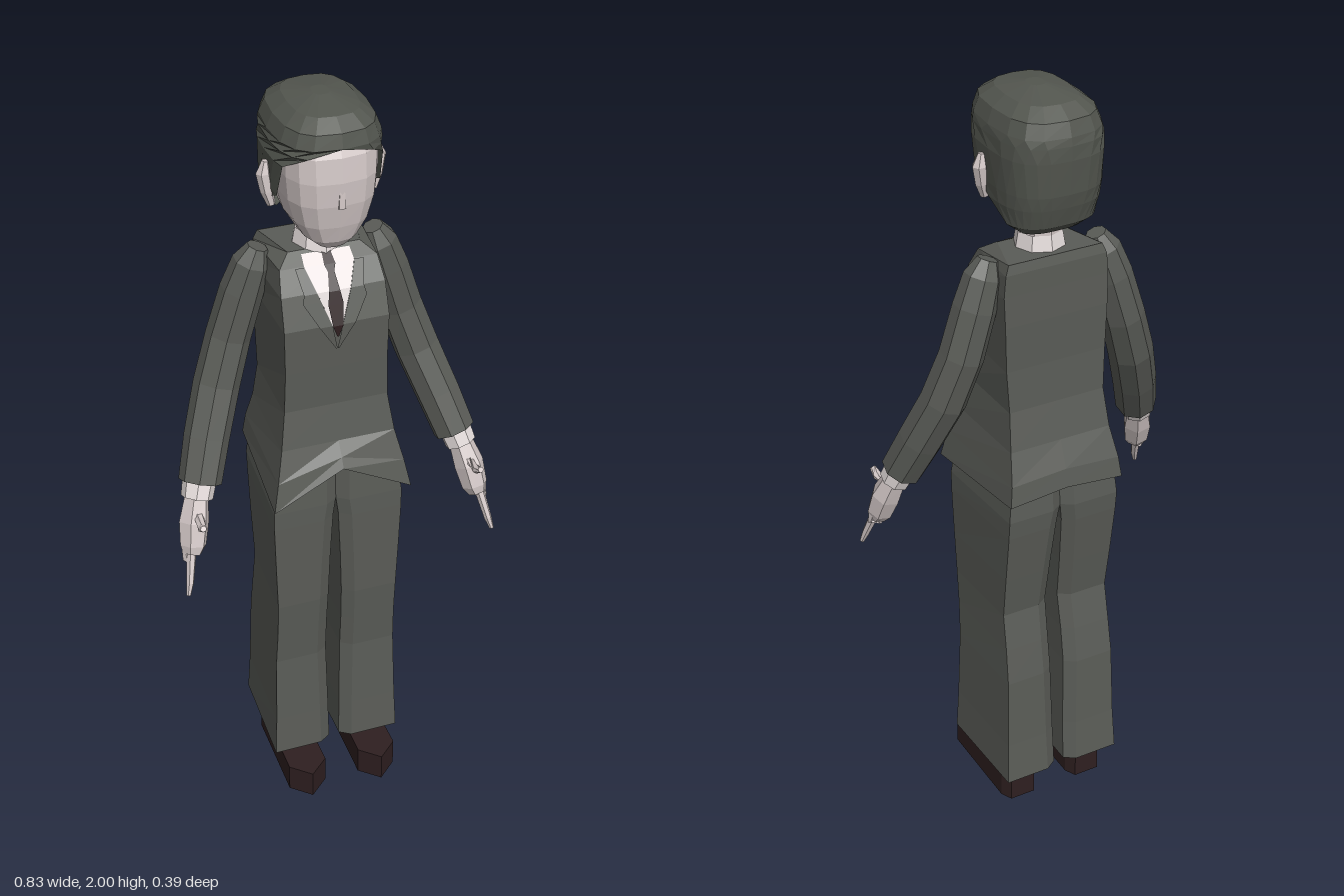
import * as THREE from 'three';

const mat = (name, color, side = THREE.FrontSide) => {
  const m = new THREE.MeshStandardMaterial({ color, side, flatShading: true });
  m.name = name;
  return m;
};
const V = (x, y, z) => new THREE.Vector3(x, y, z);

// Skin a surface over rings that run counter-clockwise about their direction of travel
function loft(rings, { closed = true, caps = true } = {}) {
  const out = [], n = rings[0].length;
  const tri = (...p) => p.forEach(q => out.push(q.x, q.y, q.z));
  for (let i = 0; i < rings.length - 1; i++) {
    for (let j = 0; j < (closed ? n : n - 1); j++) {
      const k = (j + 1) % n, A = rings[i], B = rings[i + 1];
      tri(A[j], A[k], B[k]);
      tri(A[j], B[k], B[j]);
    }
  }
  const cap = (r, flip) => {
    const c = r.reduce((s, p) => s.add(p), V(0, 0, 0)).divideScalar(n);
    r.forEach((p, j) => flip ? tri(c, r[(j + 1) % n], p) : tri(c, p, r[(j + 1) % n]));
  };
  if (caps) { cap(rings[0], true); cap(rings[rings.length - 1], false); }
  const g = new THREE.BufferGeometry();
  g.setAttribute('position', new THREE.Float32BufferAttribute(out, 3));
  g.computeVertexNormals();
  return g;
}

// Tapered limb through [x, y, z, radius] stations; s mirrors it in x
function limb(stations, s, sides) {
  const pts = stations.map(([x, y, z]) => V(x * s, y, z));
  return loft(pts.map((p, i) => {
    const t = pts[Math.min(i + 1, pts.length - 1)].clone().sub(pts[Math.max(i - 1, 0)]).normalize();
    const u = t.clone().cross(V(0, 0, 1)).normalize(), v = u.clone().cross(t);
    return Array.from({ length: sides }, (_, j) => {
      const a = (j + 0.5) / sides * Math.PI * 2, r = stations[i][3];
      return p.clone().addScaledVector(v, Math.cos(a) * r).addScaledVector(u, Math.sin(a) * r);
    });
  }));
}

// Rounded-box outline point; angle 0 is the front
function headPoint(a, [y, w, zf, zb]) {
  const q = v => Math.sign(v) * Math.abs(v) ** 0.7;
  return V(w * q(Math.sin(a)), y, (zf + zb) / 2 + (zf - zb) / 2 * q(Math.cos(a)));
}

export function createModel() {
  const model = new THREE.Group();
  const suit = mat('suit grey', 0x5a5c57, THREE.DoubleSide);
  const hairMat = mat('hair grey', 0x53564f, THREE.DoubleSide);
  const skin = mat('skin', 0xd2c7c6);
  const shirt = mat('shirt white', 0xe4dcdb, THREE.DoubleSide);
  const dark = mat('dark brown', 0x2e1f20, THREE.DoubleSide);
  const add = (name, geo, m) => {
    const mesh = new THREE.Mesh(geo, m);
    mesh.name = name;
    model.add(mesh);
    return mesh;
  };

  // Jacket: [y, front half-width, back half-width, front z, back z]
  const jacket = [
    [0.965, 0.18, 0.157, 0.15, -0.19], [1.04, 0.165, 0.15, 0.135, -0.183],
    [1.12, 0.147, 0.138, 0.11, -0.155], [1.22, 0.133, 0.13, 0.092, -0.135],
    [1.33, 0.13, 0.135, 0.095, -0.13], [1.45, 0.132, 0.138, 0.097, -0.132],
    [1.53, 0.13, 0.14, 0.07, -0.13], [1.585, 0.122, 0.135, 0.035, -0.13],
    [1.61, 0.09, 0.125, 0.0, -0.125]];
  const hem = [0.095, 0.035];
  add('jacket', loft(jacket.map(([y, w, b, f, k], i) => {
    const up = i === 0 ? hem : i === 1 ? [0.045, 0.01] : [0, 0];
    return [V(0, y + up[0], f), V(w, y, f), V(b, y + (i ? 0 : 0.02), k),
      V(0, y + up[1], k), V(-b, y + (i ? 0 : 0.02), k), V(-w, y, f)];
  }), { caps: false }), suit);
  const top = new THREE.Shape([[-0.09, 0], [0.09, 0], [0.125, 0.125], [-0.125, 0.125]]
    .map(p => new THREE.Vector2(...p)));
  add('shoulderYoke', new THREE.ShapeGeometry(top).rotateX(-Math.PI / 2), suit).position.y = 1.609;

  // Thin chest panels that follow the jacket front
  const chestZ = y => {
    const i = Math.max(1, jacket.findIndex(r => r[0] >= y)), a = jacket[i - 1], b = jacket[i];
    return a[3] + (b[3] - a[3]) * (y - a[0]) / (b[0] - a[0]);
  };
  const panel = (name, rows, lift, m) => add(name, loft(rows.map(([y, x0, x1]) =>
    [V(x0, y, chestZ(y) + lift), V(x1, y, chestZ(y) + lift)]), { closed: false, caps: false }), m);
  panel('shirtFront', [[1.42, -0.002, 0.002], [1.45, -0.013, 0.013], [1.53, -0.042, 0.042],
    [1.585, -0.062, 0.062], [1.605, -0.06, 0.06]], 0.004, shirt);
  panel('tie', [[1.42, -0.002, 0.002], [1.45, -0.013, 0.013], [1.5, -0.019, 0.019],
    [1.53, -0.014, 0.014], [1.57, -0.008, 0.008], [1.585, -0.014, 0.014], [1.605, -0.011, 0.011]], 0.008, dark);
  for (const s of [1, -1]) {
    const lap = (y, a, b) => s > 0 ? [y, a, b] : [y, -b, -a];
    panel('lapel', [lap(1.385, 0, 0.004), lap(1.45, 0.013, 0.045), lap(1.51, 0.035, 0.08),
      lap(1.53, 0.042, 0.075), lap(1.585, 0.062, 0.085)], 0.005, suit);
  }

  // Trousers: [y, inner x, outer front x, outer back x, front z, back z]
  const trouser = [
    [0.1, 0.014, 0.175, 0.165, 0.105, -0.18], [0.22, 0.016, 0.17, 0.16, 0.1, -0.172],
    [0.42, 0.02, 0.165, 0.155, 0.092, -0.165], [0.52, 0.02, 0.162, 0.152, 0.1, -0.15],
    [0.62, 0.018, 0.162, 0.15, 0.108, -0.132], [0.74, 0.014, 0.166, 0.152, 0.11, -0.15],
    [0.88, 0.007, 0.17, 0.153, 0.112, -0.17], [0.93, 0, 0.17, 0.153, 0.112, -0.175],
    [1.06, 0, 0.15, 0.14, 0.105, -0.165]];
  for (const s of [1, -1]) {
    const side = s > 0 ? 'left' : 'right';
    add(side + 'TrouserLeg', loft(trouser.map(([y, xi, xf, xb, f, k]) => {
      const r = [V(xi, y, f - 0.02), V(xi + 0.03, y, f), V(xf, y, f),
        V(xb, y, k), V(xi + 0.03, y, k), V(xi, y, k + 0.02)];
      r.forEach(p => { p.x *= s; });
      return s > 0 ? r : r.reverse();
    })), suit);

    // Shoe with pointed toe and clipped heel
    const sole = new THREE.Shape([[0.05, 0.11], [0.065, 0.14], [0.135, 0.14], [0.15, 0.11],
      [0.152, -0.15], [0.1, -0.197], [0.048, -0.15]].map(([x, y]) => new THREE.Vector2(x * s, y)));
    add(side + 'Shoe', new THREE.ExtrudeGeometry(sole, { depth: 0.08, bevelEnabled: false })
      .rotateX(-Math.PI / 2), dark);
    add(side + 'Ankle', new THREE.BoxGeometry(0.09, 0.09, 0.1).translate(0.1 * s, 0.115, -0.08), dark);

    // Sleeve, cuff and hand, from the wrist upwards
    add(side + 'Sleeve', limb([[0.338, 1.03, 0.042, 0.054], [0.305, 1.13, 0.0, 0.057],
      [0.262, 1.25, -0.045, 0.058], [0.222, 1.37, -0.066, 0.056], [0.185, 1.49, -0.066, 0.054],
      [0.16, 1.565, -0.062, 0.047], [0.145, 1.605, -0.06, 0.026]], s, 8), suit);
    add(side + 'Cuff', limb([[0.352, 0.995, 0.057, 0.04], [0.336, 1.045, 0.037, 0.043]], s, 8), shirt);
    add(side + 'Hand', limb([[0.384, 0.865, 0.108, 0.024], [0.378, 0.885, 0.1, 0.034],
      [0.368, 0.94, 0.08, 0.039], [0.352, 1.0, 0.055, 0.031]], s, 6), skin);
    add(side + 'Finger', limb([[0.41, 0.77, 0.152, 0.006], [0.402, 0.8, 0.142, 0.01],
      [0.385, 0.88, 0.108, 0.013]], s, 6), skin);
    add(side + 'CurledFinger', limb([[0.382, 0.86, 0.088, 0.008], [0.398, 0.855, 0.11, 0.012],
      [0.395, 0.89, 0.1, 0.014]], s, 6), skin);
    add(side + 'Thumb', limb([[0.366, 0.975, 0.16, 0.008], [0.364, 0.962, 0.14, 0.012],
      [0.358, 0.965, 0.08, 0.013]], s, 6), skin);

    // Ear
    add(side + 'Ear', limb([[0.125, 1.74, -0.008, 0.01], [0.134, 1.775, -0.012, 0.016],
      [0.141, 1.82, -0.016, 0.018], [0.136, 1.85, -0.016, 0.008]], s, 6), skin);
  }

  // Neck and collar
  add('neck', new THREE.CylinderGeometry(0.05, 0.054, 0.14, 8).translate(0, 1.645, -0.05), skin);
  add('collar', new THREE.CylinderGeometry(0.057, 0.067, 0.055, 8, 1, true).translate(0, 1.62, -0.045), shirt);

  // Head: [y, half-width, front z, back z]
  const around = 16;
  const ring = (row, limit = Math.PI) => Array.from({ length: around + 1 }, (_, j) =>
    headPoint(Math.PI + (j / around * 2 - 1) * limit, row));
  add('head', loft([
    [1.652, 0.04, 0.082, -0.06], [1.675, 0.068, 0.1, -0.11], [1.72, 0.095, 0.114, -0.14],
    [1.78, 0.112, 0.126, -0.16], [1.84, 0.117, 0.13, -0.165], [1.9, 0.117, 0.124, -0.165],
    [1.95, 0.1, 0.1, -0.15]].map(r => ring(r).slice(0, around))), skin);

  // Nose ridge
  add('nose', limb([[0, 1.775, 0.121, 0.012], [0, 1.84, 0.122, 0.007]], 1, 4), skin);

  // Hair: the last value is how far each row reaches around from the back
  const hair = [
    [1.675, 0.095, 0.04, -0.135, 0.28], [1.7, 0.118, 0.08, -0.165, 0.4],
    [1.75, 0.128, 0.115, -0.18, 0.5], [1.785, 0.13, 0.122, -0.188, 0.6],
    [1.87, 0.132, 0.128, -0.195, 0.66], [1.905, 0.13, 0.13, -0.195, 0.84],
    [1.925, 0.127, 0.13, -0.192, 1], [1.96, 0.113, 0.122, -0.18, 1],
    [1.985, 0.08, 0.085, -0.14, 1], [2.0, 0.02, 0.0, -0.05, 1]];
  add('hair', loft(hair.map(r => ring(r, r[4] * Math.PI)), { closed: false, caps: false }), hairMat);
  add('hairCrown', loft(hair.slice(-2).map(r => ring(r).slice(0, around))), hairMat);

  return model;
}
